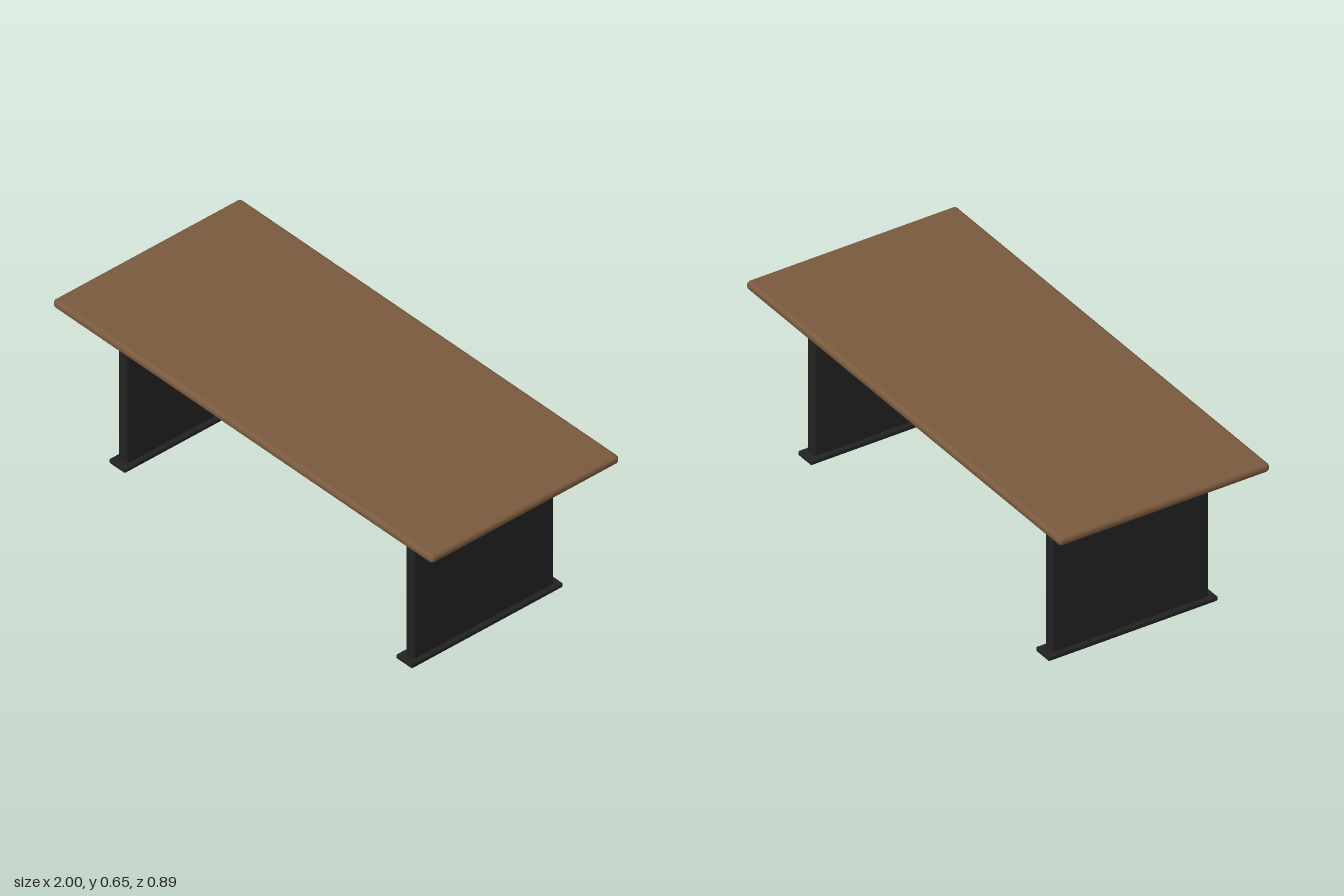
import * as THREE from 'three';
import { RoundedBoxGeometry } from 'three/addons/geometries/RoundedBoxGeometry.js';

export function createModel() {
  const model = new THREE.Group();
  model.name = 'table';

  const wood = new THREE.MeshStandardMaterial({ color: 0x7a5a3e });
  wood.name = 'brown wood';
  const metal = new THREE.MeshStandardMaterial({ color: 0x222222 });
  metal.name = 'black metal';

  // Rounded slab resting on height y0 and reaching y1
  function slab(name, material, width, y0, y1, depth, radius, x = 0) {
    const geometry = new RoundedBoxGeometry(width, y1 - y0, depth, 4, radius);
    const mesh = new THREE.Mesh(geometry, material);
    mesh.name = name;
    mesh.position.set(x, (y0 + y1) / 2, 0);
    model.add(mesh);
  }

  // Top with soft edges
  slab('tabletop', wood, 2, 0.617, 0.653, 0.886, 0.016);

  // Panel legs on wider floor plates
  for (const [side, s] of [['left', 1], ['right', -1]]) {
    slab(side + 'LegPanel', metal, 0.045, 0.006, 0.605, 0.66, 0.01, s * 0.756);
    slab(side + 'FootPlate', metal, 0.084, 0, 0.019, 0.712, 0.006, s * 0.756);
  }

  // Stretcher beam between the legs
  slab('stretcher', metal, 1.49, 0.257, 0.3, 0.043, 0.01);

  return model;
}
